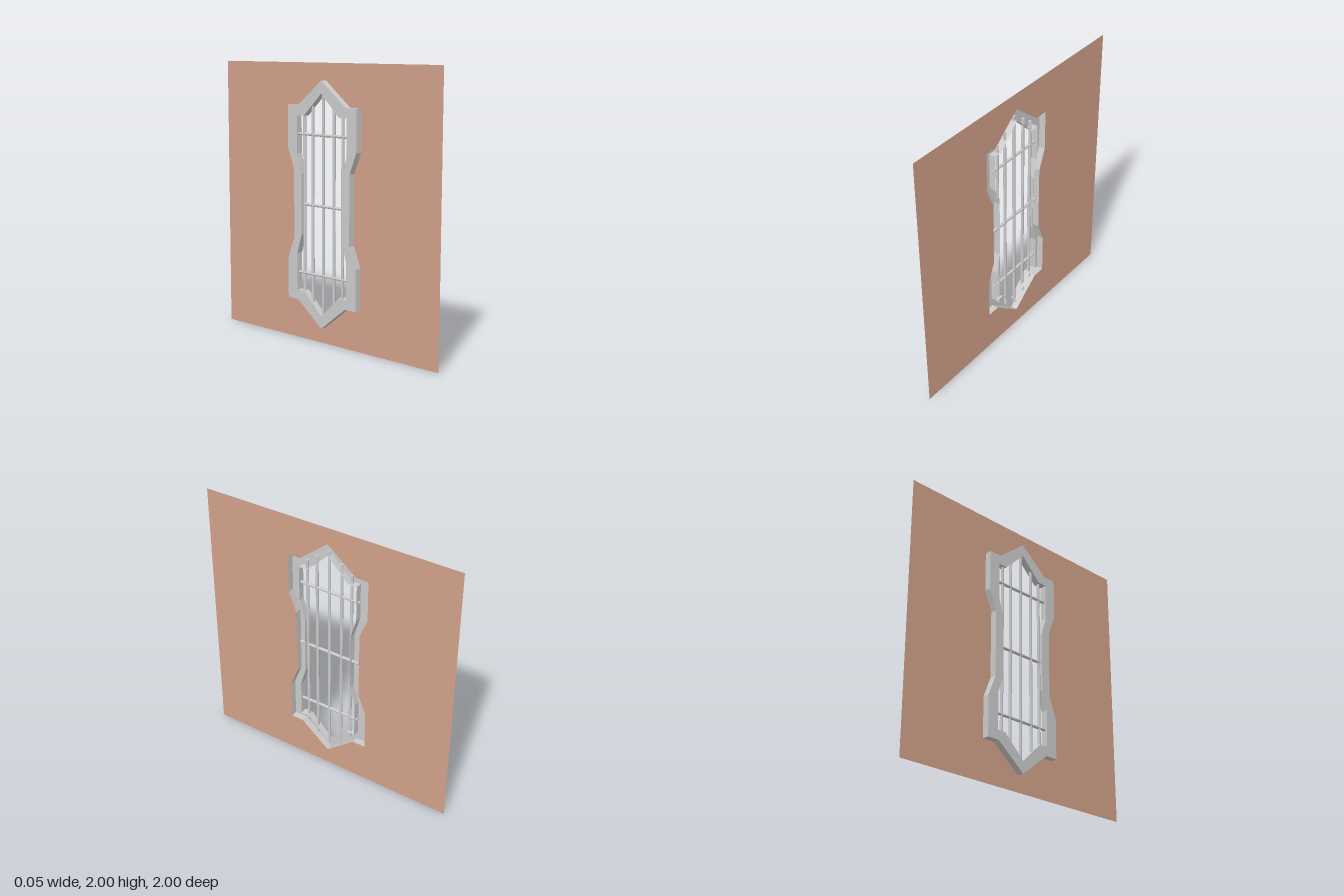
import * as THREE from 'three';

const DEPTH = 0.05;

// Right half of each outline from top to bottom; mirrored into a closed loop.
const outerHalf = [[0, 1.88], [0.225, 1.7], [0.322, 1.7], [0.322, 1.4], [0.262, 1.25],
  [0.262, 0.75], [0.322, 0.6], [0.322, 0.3], [0.225, 0.3], [0, 0.12]];
const innerHalf = [[0, 1.79], [0.165, 1.63], [0.233, 1.63], [0.233, 1.36], [0.19, 1.22],
  [0.19, 0.78], [0.233, 0.64], [0.233, 0.37], [0.165, 0.37], [0, 0.21]];

function outline(half) {
  const mirrored = half.slice(1, -1).reverse().map(([x, y]) => [-x, y]);
  return [...half, ...mirrored].map(([x, y]) => new THREE.Vector2(x, y));
}

// Flat panel with one opening
function panel(points, hole, z) {
  const shape = new THREE.Shape(points);
  shape.holes.push(new THREE.Path(hole));
  return new THREE.ShapeGeometry(shape).translate(0, 0, z);
}

// Open band that follows a closed outline through the full depth
function band(points) {
  const pos = [];
  const d = DEPTH / 2;
  points.forEach((a, i) => {
    const b = points[(i + 1) % points.length];
    pos.push(a.x, a.y, d, a.x, a.y, -d, b.x, b.y, -d);
    pos.push(a.x, a.y, d, b.x, b.y, -d, b.x, b.y, d);
  });
  const g = new THREE.BufferGeometry();
  g.setAttribute('position', new THREE.Float32BufferAttribute(pos, 3));
  g.computeVertexNormals();
  return g;
}

export function createModel() {
  const grey = new THREE.MeshStandardMaterial({ color: 0xcccccc, flatShading: true, side: THREE.DoubleSide });
  const brown = new THREE.MeshStandardMaterial({ color: 0xd1a089, side: THREE.DoubleSide });
  const windowWall = new THREE.Group();
  windowWall.name = 'windowWall';

  function add(name, geometry, material = grey) {
    const mesh = new THREE.Mesh(geometry, material);
    mesh.name = name;
    windowWall.add(mesh);
    return mesh;
  }

  const outer = outline(outerHalf);
  const inner = outline(innerHalf);

  // Thin wall sheet, cut out around the frame
  const square = [[-1, 0], [1, 0], [1, 2], [-1, 2]].map(([x, y]) => new THREE.Vector2(x, y));
  add('wall', panel(square, outer, DEPTH / 2), brown);

  // Frame: a channel that is open on the wall side
  add('frameFace', panel(outer, inner, -DEPTH / 2));
  add('frameOuterEdge', band(outer));
  add('frameInnerEdge', band(inner));

  // Upright bars: position, bottom, top
  for (const [x, y0, y1] of [[0, 0.19, 1.82], [0.1, 0.235, 1.75], [-0.1, 0.235, 1.75],
    [0.18, 0.315, 1.69], [-0.18, 0.315, 1.69]]) {
    add('uprightBar', new THREE.CylinderGeometry(0.011, 0.011, y1 - y0, 8)).position.set(x, (y0 + y1) / 2, 0);
  }

  // Cross bars
  for (const y of [0.5, 1, 1.5]) {
    const bar = add('crossBar', new THREE.CylinderGeometry(0.011, 0.011, 0.49, 8));
    bar.rotation.z = Math.PI / 2;
    bar.position.y = y;
  }

  // Turn the wall side to face +x
  windowWall.rotation.y = Math.PI / 2;
  const model = new THREE.Group();
  model.add(windowWall);
  return model;
}
